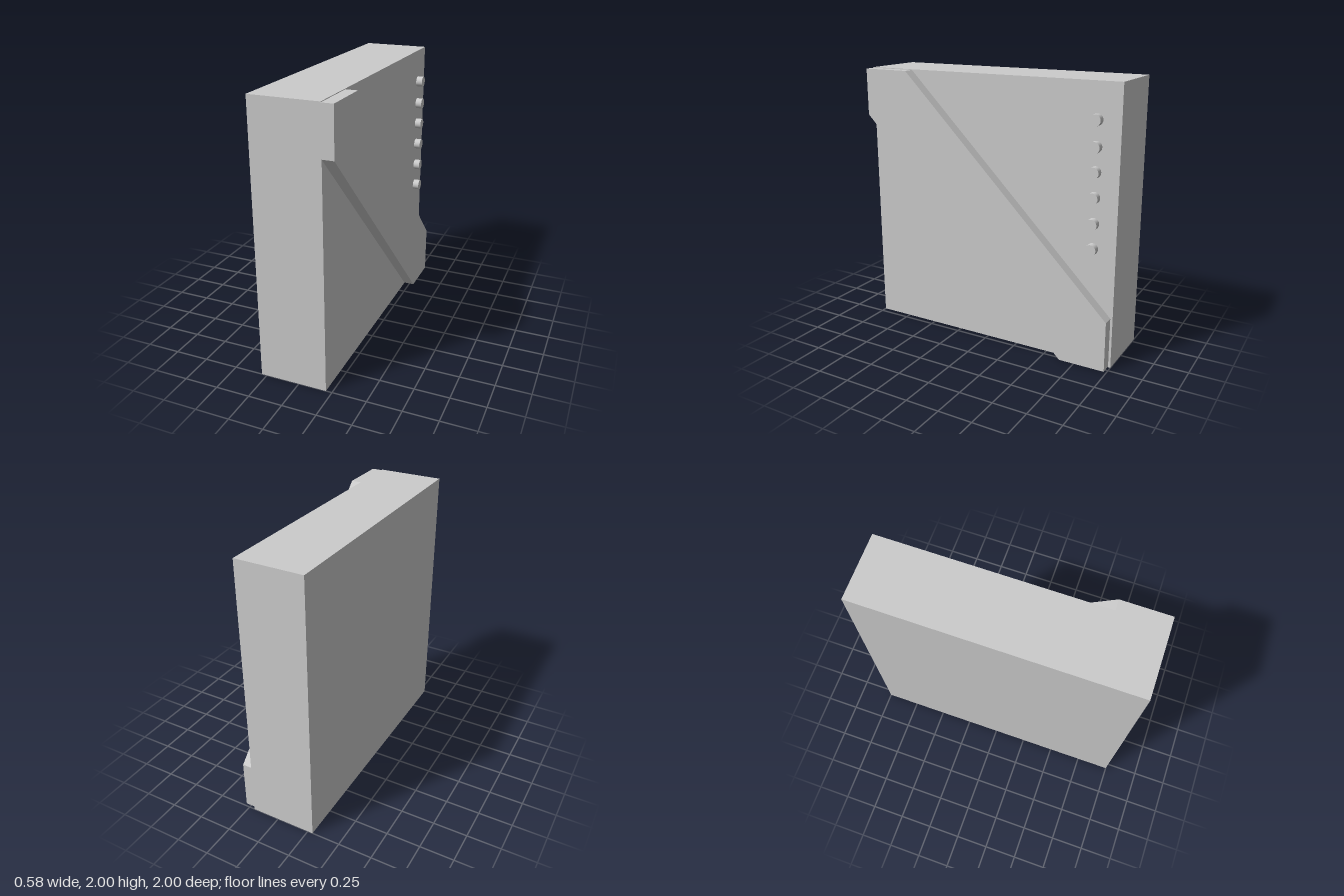
import * as THREE from 'three';

const FACE_X = 0.205; // side face that carries the band and pegs

export function createModel() {
  const group = new THREE.Group();
  const flat = new THREE.MeshStandardMaterial({ color: 0xcccccc, flatShading: true });
  const smooth = new THREE.MeshStandardMaterial({ color: 0xcccccc });

  const add = (name, geometry, material, x, y, z) => {
    const mesh = new THREE.Mesh(geometry, material);
    mesh.name = name;
    mesh.position.set(x, y, z);
    group.add(mesh);
    return mesh;
  };

  // Upright slab
  const width = FACE_X + 0.289;
  add('slab', new THREE.BoxGeometry(width, 2, 2), flat, FACE_X - width / 2, 1, 0);

  // Raised diagonal band, outlined as (z, y) and extruded towards +x
  const outline = [[1, 1.995], [0.64, 1.995], [-0.983, 0.375], [-0.983, 0.005], [-0.64, 0.005], [1, 1.65]];
  const shape = new THREE.Shape(outline.map(([z, y]) => new THREE.Vector2(-z, y)));
  const bandGeometry = new THREE.ExtrudeGeometry(shape, { depth: 0.083, bevelEnabled: false });
  bandGeometry.rotateY(Math.PI / 2);
  add('diagonalBand', bandGeometry, flat, FACE_X, 0, 0);

  // Column of round pegs
  const pegLength = 0.048;
  const pegGeometry = new THREE.CylinderGeometry(0.04, 0.04, pegLength, 32);
  pegGeometry.rotateZ(-Math.PI / 2);
  [1.75, 1.57, 1.4, 1.225, 1.043, 0.863].forEach((y, i) => {
    add(`peg${i + 1}`, pegGeometry, smooth, FACE_X + pegLength / 2, y, -0.832);
  });

  return group;
}
